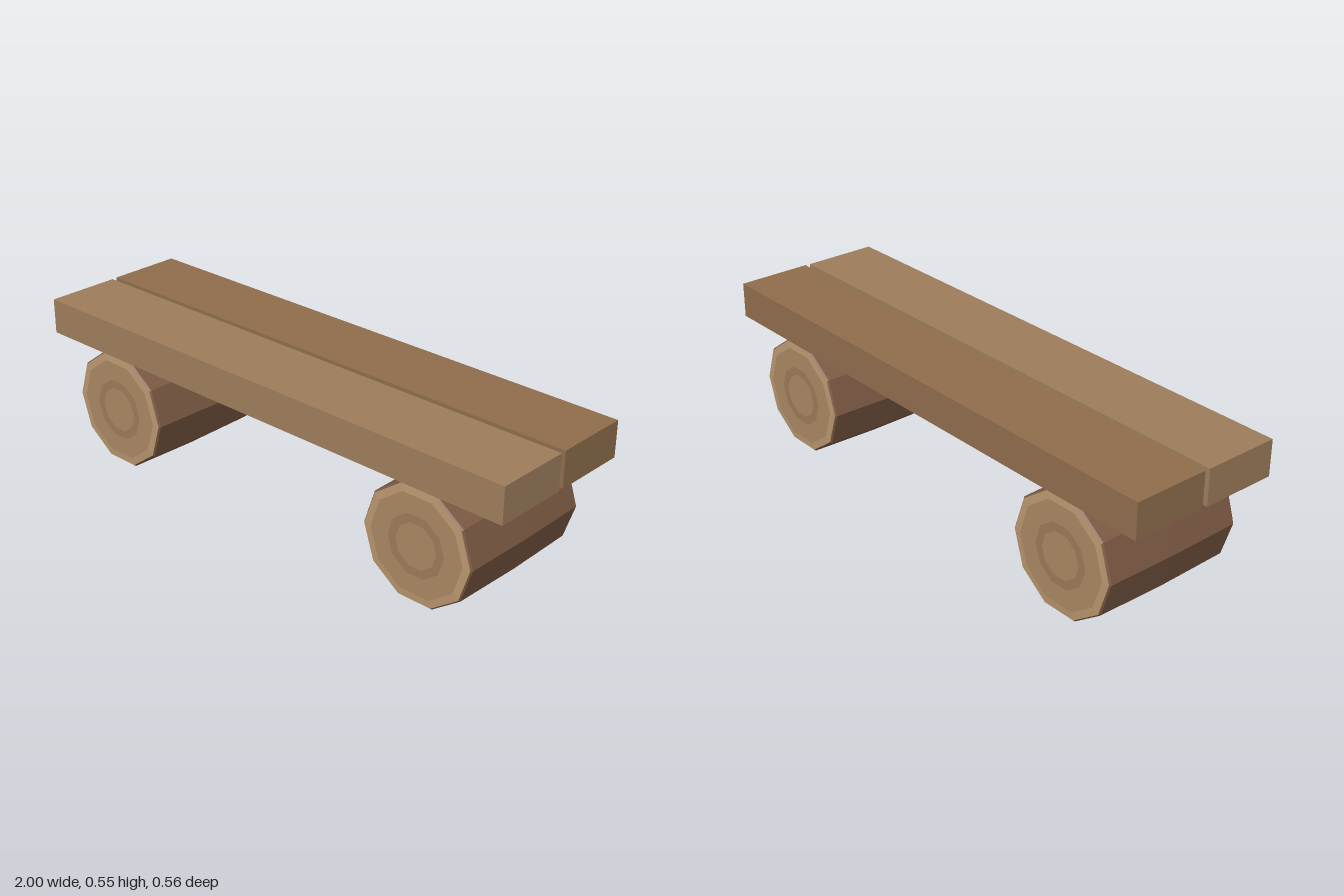
import * as THREE from 'three';

const mat = (color) => new THREE.MeshStandardMaterial({ color, flatShading: true, roughness: 0.9 });

export function createModel() {
  const bench = new THREE.Group();
  bench.name = 'logBench';

  const barkMat = mat(0x7d5b44);
  const rimMat = mat(0xb8966f);
  const woodMat = mat(0xa98763);
  const ringMat = mat(0x9c7a58);

  // Ten-sided lathe whose axis runs along z
  const turned = (name, profile, material) => {
    const points = profile.map(([r, z]) => new THREE.Vector2(r, z));
    const geometry = new THREE.LatheGeometry(points, 10, Math.PI / 2);
    geometry.rotateX(Math.PI / 2);
    const mesh = new THREE.Mesh(geometry, material);
    mesh.name = name;
    return mesh;
  };

  // Log leg: slightly barrelled bark with a ringed cut at both ends
  const makeLog = (name, x, y, stretch) => {
    const log = new THREE.Group();
    log.name = name;
    log.add(turned('bark', [
      [0.207, -0.268], [0.212, -0.262], [0.216, 0], [0.212, 0.262], [0.207, 0.268],
    ], barkMat));
    for (const turn of [0, Math.PI]) {
      const end = new THREE.Group();
      end.name = turn ? 'backCut' : 'frontCut';
      end.add(
        turned('rim', [[0.207, 0.268], [0.18, 0.27]], rimMat),
        turned('outerWood', [[0.18, 0.27], [0.11, 0.27]], woodMat),
        turned('growthRing', [[0.11, 0.27], [0.08, 0.27]], ringMat),
        turned('core', [[0.08, 0.27], [0, 0.27]], woodMat),
      );
      end.rotation.y = turn;
      log.add(end);
    }
    log.position.set(x, y, 0);
    log.scale.y = stretch;
    bench.add(log);
  };
  makeLog('rightLog', -0.685, 0.212, 1.02);
  makeLog('leftLog', 0.68, 0.215, 0.99);

  // Two seat planks with a narrow gap
  const makePlank = (name, y, z, color) => {
    const plank = new THREE.Mesh(new THREE.BoxGeometry(2, 0.127, 0.272), mat(color));
    plank.name = name;
    plank.position.set(0, y, z);
    bench.add(plank);
  };
  makePlank('frontPlank', 0.484, 0.146, 0x9d7d5c);
  makePlank('backPlank', 0.485, -0.145, 0x8f6d4c);

  return bench;
}
